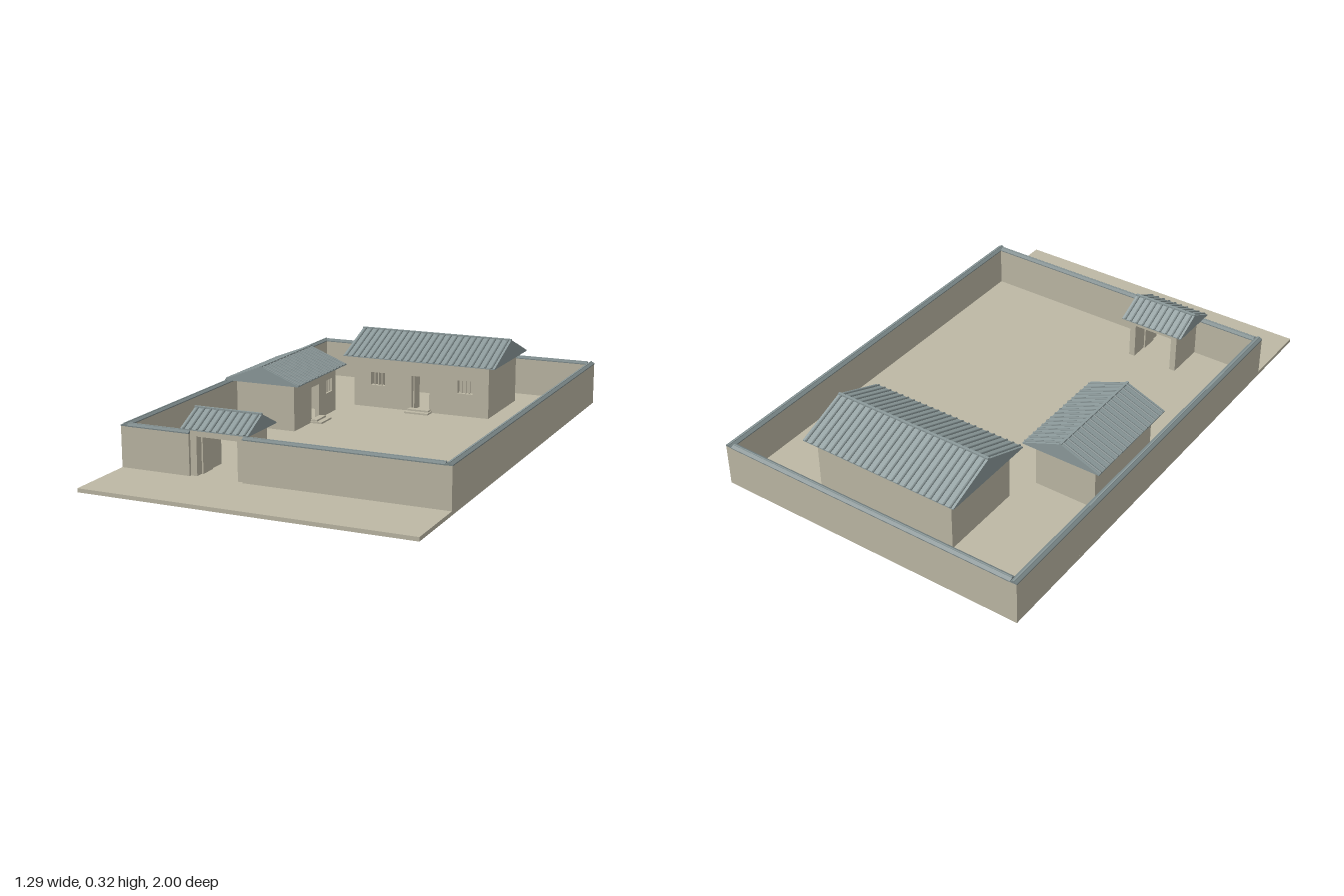
import * as THREE from 'three';

const mat = (name, color) => Object.assign(new THREE.MeshStandardMaterial({ color }), { name });
const clay = mat('tan clay', 0xbdb8a5);
const slate = mat('grey slate', 0x8c9a9b);
const agedSlate = mat('aged slate', 0x7b8889);

const GROUND = 0.015;

function add(parent, name, geometry, material, x = 0, y = 0, z = 0) {
  const m = new THREE.Mesh(geometry, material);
  m.name = name;
  m.position.set(x, y, z);
  parent.add(m);
  return m;
}

// Box given by its limits on each axis
function block(parent, name, material, [x0, x1], [y0, y1], [z0, z1]) {
  return add(parent, name, new THREE.BoxGeometry(x1 - x0, y1 - y0, z1 - z0), material,
    (x0 + x1) / 2, (y0 + y1) / 2, (z0 + z1) / 2);
}

// Gabled prism lying along x, centred on the origin, with a thin eave edge
function gable(length, half, rise, edge) {
  const s = new THREE.Shape();
  s.moveTo(-half, 0);
  s.lineTo(half, 0);
  s.lineTo(half, edge);
  s.lineTo(0, rise);
  s.lineTo(-half, edge);
  s.closePath();
  const g = new THREE.ExtrudeGeometry(s, { depth: length, bevelEnabled: false });
  g.translate(0, 0, -length / 2);
  g.rotateY(Math.PI / 2);
  return g;
}

// Tiled roof along x: prism, rows of tile ribs and a ridge strip
function roof(length, half, eave, ridge) {
  const g = new THREE.Group();
  g.name = 'roof';
  const rise = ridge - eave - 0.004, edge = 0.004;
  add(g, 'roofBody', gable(length, half, rise, edge), slate, 0, eave, 0);
  const slope = Math.hypot(half, rise - edge);
  const tilt = Math.atan2(rise - edge, half);
  const count = Math.round(length / 0.028);
  const rib = new THREE.CylinderGeometry(0.0045, 0.0045, slope, 8);
  rib.rotateX(Math.PI / 2);
  for (const side of [1, -1]) {
    for (let i = 0; i < count; i++) {
      const x = ((i + 0.5) / count - 0.5) * length;
      const r = add(g, 'tileRib', rib, agedSlate, x, eave + (rise + edge) / 2, side * half / 2);
      r.rotation.x = side * tilt;
    }
  }
  block(g, 'ridge', slate, [-length / 2, length / 2], [ridge - 0.009, ridge], [-0.005, 0.005]);
  return g;
}

// Hollow house facing +z; openings are [x0, x1, y0, y1]
function house(name, width, depth, height, door, windows, roofSize) {
  const g = new THREE.Group();
  g.name = name;
  const w = width / 2, d = depth / 2, t = 0.02;
  const s = new THREE.Shape();
  s.moveTo(-w, GROUND);
  s.lineTo(door[0], GROUND);
  s.lineTo(door[0], door[3]);
  s.lineTo(door[1], door[3]);
  s.lineTo(door[1], GROUND);
  s.lineTo(w, GROUND);
  s.lineTo(w, height);
  s.lineTo(-w, height);
  s.closePath();
  for (const [x0, x1, y0, y1] of windows) {
    const h = new THREE.Path();
    h.moveTo(x0, y0);
    h.lineTo(x0, y1);
    h.lineTo(x1, y1);
    h.lineTo(x1, y0);
    h.closePath();
    s.holes.push(h);
    // Upright window bars
    for (let i = 1; i < 4; i++) {
      const x = x0 + (x1 - x0) * i / 4;
      block(g, 'windowBar', clay, [x - 0.0025, x + 0.0025], [y0, y1], [d - 0.012, d - 0.006]);
    }
  }
  add(g, 'frontWall', new THREE.ExtrudeGeometry(s, { depth: t, bevelEnabled: false }), clay, 0, 0, d - t);
  block(g, 'backWall', clay, [-w, w], [GROUND, height], [-d, -d + t]);
  for (const k of [-1, 1]) {
    const x = k * (w - t / 2);
    block(g, 'endWall', clay, [x - t / 2, x + t / 2], [GROUND, height], [-d + t, d - t]);
  }
  // Open door leaf and doorsteps
  block(g, 'doorLeaf', clay, [door[0], door[0] + 0.005], [GROUND, door[3]], [d - t - 0.06, d - t]);
  block(g, 'lowerStep', clay, [door[0] - 0.012, door[1] + 0.012], [GROUND, 0.022], [d, d + 0.05]);
  block(g, 'upperStep', clay, [door[0] - 0.006, door[1] + 0.006], [0.022, 0.029], [d, d + 0.027]);
  g.add(roof(...roofSize));
  return g;
}

export function createModel() {
  const model = new THREE.Group();
  model.name = 'walledCourtyard';
  const W = 0.642;
  block(model, 'ground', clay, [-W, W], [0, GROUND], [-1, 1]);

  // Enclosing walls, open at the gate, with gabled caps
  const top = 0.171, t = 0.026, zf = 0.713;
  const walls = [
    [[-W, -W + t], [-1, zf], 'rightWall'],
    [[W - t, W], [-1, zf], 'leftWall'],
    [[-W + t, W - t], [-1, -1 + t], 'backWall'],
    [[-W + t, -0.36], [zf - t, zf], 'frontWallRight'],
    [[-0.145, W - t], [zf - t, zf], 'frontWallLeft'],
  ];
  for (const [xs, zs, name] of walls) {
    block(model, name, clay, xs, [GROUND, top], zs);
    const dx = xs[1] - xs[0], dz = zs[1] - zs[0];
    const cap = add(model, name + 'Cap', gable(Math.max(dx, dz), 0.0145, 0.011, 0.004), agedSlate,
      (xs[0] + xs[1]) / 2, top, (zs[0] + zs[1]) / 2);
    const crest = new THREE.BoxGeometry(Math.max(dx, dz), 0.003, 0.005);
    const strip = add(model, name + 'Crest', crest, slate, cap.position.x, top + 0.0105, cap.position.z);
    if (dz > dx) cap.rotation.y = strip.rotation.y = Math.PI / 2;
  }

  // Main house at the back
  const main = house('mainHouse', 0.6, 0.345, 0.236, [-0.04, 0.04, GROUND, 0.165],
    [[-0.225, -0.16, 0.11, 0.165], [0.165, 0.23, 0.11, 0.165]], [0.672, 0.207, 0.231, 0.32]);
  main.position.set(0.042, 0, -0.667);
  model.add(main);

  // Side house turned to face the yard
  const side = house('sideHouse', 0.385, 0.255, 0.21, [-0.035, 0.035, GROUND, 0.16],
    [[0.1, 0.16, 0.105, 0.16]], [0.455, 0.163, 0.205, 0.277]);
  side.rotation.y = Math.PI / 2;
  side.position.set(-0.4225, 0, -0.1875);
  model.add(side);

  // Gatehouse with side walls, lintels, open leaves and its own roof
  const gate = new THREE.Group();
  gate.name = 'gatehouse';
  gate.position.set(-0.2515, 0, 0.614);
  for (const k of [-1, 1]) {
    add(gate, 'gateSideWall', new THREE.BoxGeometry(0.025, 0.177, 0.178), clay, k * 0.095, GROUND + 0.0885, 0);
    add(gate, 'gateLeaf', new THREE.BoxGeometry(0.006, 0.146, 0.07), clay, k * 0.0795, GROUND + 0.073, 0.02);
    block(gate, 'lintel', clay, [-0.0825, 0.0825], [0.162, 0.192], k > 0 ? [0.064, 0.089] : [-0.089, -0.064]);
  }
  gate.add(roof(0.272, 0.109, 0.188, 0.25));
  model.add(gate);
  return model;
}
